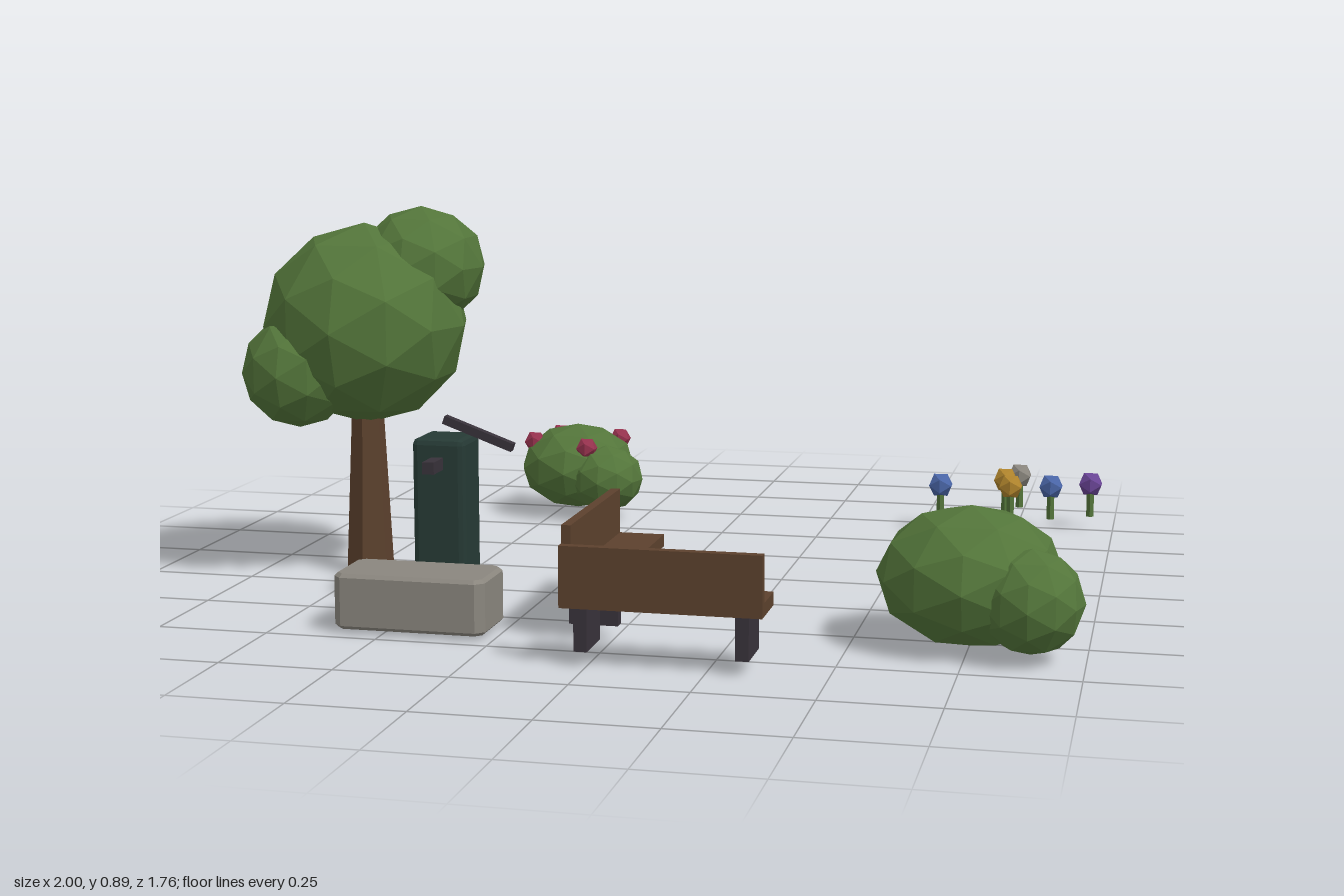
import * as THREE from 'three';
import { RoundedBoxGeometry } from 'three/addons/geometries/RoundedBoxGeometry.js';

const mat = (name, color) => {
  const m = new THREE.MeshStandardMaterial({ color, flatShading: true });
  m.name = name;
  return m;
};

export function createModel() {
  const leaf = mat('leaf green', 0x53753a);
  const wood = mat('brown wood', 0x5c412d);
  const dark = mat('dark iron', 0x38323a);
  const pumpGreen = mat('pump green', 0x263a35);
  const stone = mat('grey stone', 0x8a867e);
  const water = mat('water blue', 0x35637c);
  const berryRed = mat('berry red', 0x96324e);
  const blue = mat('petal blue', 0x4a66a8);
  const yellow = mat('petal yellow', 0xb0842c);
  const purple = mat('petal purple', 0x6a4596);

  const root = new THREE.Group();
  root.name = 'garden';
  const group = (name, parent = root) => {
    const g = new THREE.Group();
    g.name = name;
    parent.add(g);
    return g;
  };
  const add = (parent, name, geo, material, x, y, z) => {
    const m = new THREE.Mesh(geo, material);
    m.name = name;
    m.position.set(x, y, z);
    parent.add(m);
    return m;
  };
  // Faceted foliage ball, squashed to the given radii
  const blob = (parent, name, x, y, z, rx, ry, rz = rx) =>
    add(parent, name, new THREE.IcosahedronGeometry(1, 1).scale(rx, ry, rz), leaf, x, y, z);

  // Tree
  const tree = group('tree');
  add(tree, 'trunk', new THREE.CylinderGeometry(0.036, 0.057, 0.44, 6), wood, -0.735, 0.23, 0.145);
  blob(tree, 'mainCanopy', -0.735, 0.61, 0.145, 0.245, 0.24);
  blob(tree, 'upperCanopy', -0.61, 0.745, 0.092, 0.152, 0.143, 0.158);
  blob(tree, 'lowerCanopy', -0.868, 0.505, 0.245, 0.132, 0.135, 0.14);

  // Large bush
  const bush = group('largeBush');
  blob(bush, 'bushBody', 0.75, 0.153, 0.515, 0.202, 0.152);
  blob(bush, 'bushSide', 0.885, 0.127, 0.615, 0.112, 0.112, 0.117);

  // Berry bush
  const berryBush = group('berryBush');
  blob(berryBush, 'berryBushBody', -0.438, 0.133, -0.675, 0.155, 0.115);
  blob(berryBush, 'berryBushSide', -0.34, 0.115, -0.602, 0.1, 0.088);
  for (const [x, z] of [[-0.513, -0.77], [-0.337, -0.743], [-0.55, -0.64], [-0.385, -0.567]])
    add(berryBush, 'berry', new THREE.IcosahedronGeometry(0.03, 0), berryRed, x, 0.2, z);

  // Flowers
  const flowers = group('flowers');
  for (const [x, z, petal] of [
    [0.555, -0.665, blue], [0.715, -0.778, yellow], [0.748, -0.85, stone],
    [0.737, -0.68, yellow], [0.84, -0.705, blue], [0.94, -0.765, purple],
  ]) {
    const flower = group('flower', flowers);
    add(flower, 'stem', new THREE.CylinderGeometry(0.01, 0.01, 0.09, 5), leaf, x, 0.08, z);
    add(flower, 'bloom', new THREE.IcosahedronGeometry(0.034, 0), petal, x, 0.122, z);
  }

  // Water pump with spout and lever
  const pump = group('waterPump');
  add(pump, 'pumpBody', new RoundedBoxGeometry(0.122, 0.39, 0.122, 1, 0.014), pumpGreen, -0.438, 0.203, 0.442);
  add(pump, 'spout', new THREE.BoxGeometry(0.027, 0.027, 0.08), dark, -0.438, 0.344, 0.527);
  const handle = add(pump, 'handle', new THREE.BoxGeometry(0.17, 0.019, 0.02), dark, -0.361, 0.405, 0.44);
  handle.rotation.z = -0.35;

  // Trough: chamfered stone frame around the water
  const trough = group('trough');
  const bevel = 0.008, w = 0.171 - bevel, d = 0.083 - bevel, c = 0.014;
  const rim = new THREE.Shape([
    [-w + c, -d], [w - c, -d], [w, -d + c], [w, d - c],
    [w - c, d], [-w + c, d], [-w, d - c], [-w, -d + c],
  ].map(([x, y]) => new THREE.Vector2(x, y)));
  const hw = 0.158, hd = 0.067;
  rim.holes.push(new THREE.Path([[-hw, -hd], [-hw, hd], [hw, hd], [hw, -hd]]
    .map(([x, y]) => new THREE.Vector2(x, y))));
  const frame = new THREE.ExtrudeGeometry(rim, {
    depth: 0.123 - 2 * bevel, bevelEnabled: true, bevelSegments: 1,
    bevelSize: bevel, bevelThickness: bevel,
  }).rotateX(-Math.PI / 2);
  add(trough, 'troughWalls', frame, stone, -0.438, 0.01 + bevel, 0.637);
  add(trough, 'waterSurface', new THREE.BoxGeometry(0.312, 0.01, 0.13), water, -0.438, 0.12, 0.637);

  // Benches: backrest at local -z
  const bench = (name, x, z, turn) => {
    const b = group(name);
    b.position.set(x, 0, z);
    b.rotation.y = turn;
    add(b, 'seat', new THREE.BoxGeometry(0.424, 0.028, 0.125), wood, 0, 0.139, 0);
    add(b, 'backrest', new THREE.BoxGeometry(0.424, 0.104, 0.021), wood, 0, 0.203, -0.052);
    for (const s of [-1, 1])
      add(b, 'leg', new THREE.BoxGeometry(0.028, 0.094, 0.108), dark, s * 0.169, 0.08, 0);
  };
  bench('frontBench', 0.158, 0.814, Math.PI);
  bench('sideBench', -0.042, 0.463, Math.PI / 2);

  return root;
}
